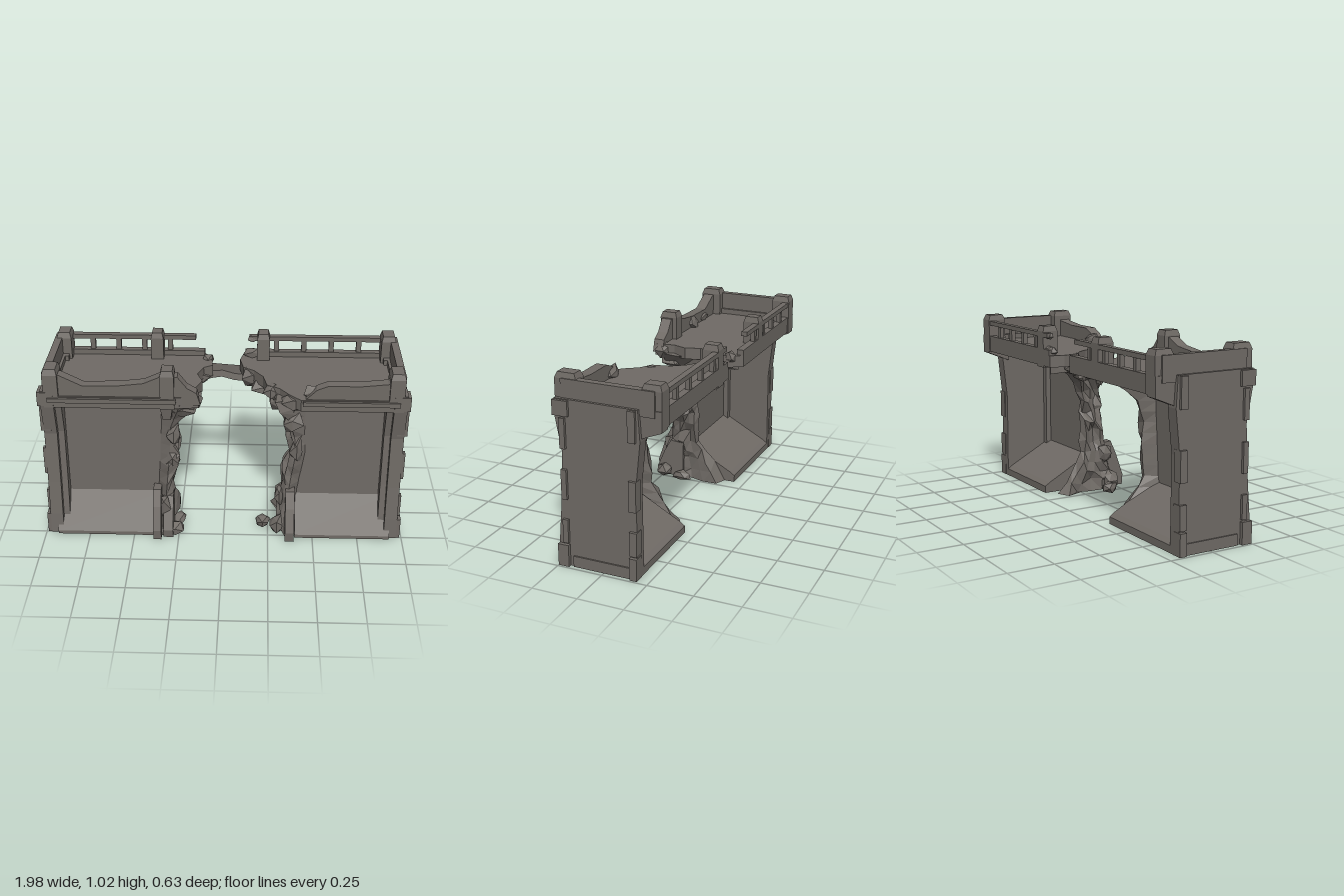
import * as THREE from 'three';

const stone = new THREE.MeshStandardMaterial({ color: 0x6f6a65, flatShading: true });
stone.name = 'grey stone';

// Seeded noise in -1..1
const noise = (a, b = 0, c = 0) => {
  const s = Math.sin(a * 127.1 + b * 311.7 + c * 74.7) * 43758.5453;
  return (s - Math.floor(s)) * 2 - 1;
};

export function createModel() {
  const model = new THREE.Group();
  model.name = 'ruinedGateWall';

  const add = (name, geo, parent = model) => {
    const m = new THREE.Mesh(geo, stone);
    m.name = name;
    parent.add(m);
    return m;
  };
  const box = (name, x0, x1, y0, y1, z0, z1, parent) => {
    const g = new THREE.BoxGeometry(Math.abs(x1 - x0), y1 - y0, Math.abs(z1 - z0));
    g.translate((x0 + x1) / 2, (y0 + y1) / 2, (z0 + z1) / 2);
    return add(name, g, parent);
  };
  const extrude = (pts, depth) => new THREE.ExtrudeGeometry(
    new THREE.Shape(pts.map(p => new THREE.Vector2(p[0], p[1]))), { depth, bevelEnabled: false });
  // [z, y] outline swept along x
  const sweepX = (name, pts, x0, x1, parent) => {
    const a = Math.min(x0, x1), b = Math.max(x0, x1);
    const g = extrude(pts.map(([z, y]) => [-z, y]), b - a);
    g.rotateY(Math.PI / 2).translate(a, 0, 0);
    return add(name, g, parent);
  };
  // [x, z] plan raised along y
  const slab = (name, pts, y0, y1, parent) => {
    const g = extrude(pts.map(([x, z]) => [x, -z]), y1 - y0);
    g.rotateX(-Math.PI / 2).translate(0, y0, 0);
    return add(name, g, parent);
  };
  // [x, y] outline with thickness in z
  const panel = (name, pts, z0, z1, parent) =>
    add(name, extrude(pts, z1 - z0).translate(0, 0, z0), parent);
  // Post with a chamfered cap
  const post = (name, x, z, y0, w, d, parent) => {
    box(name, x - w / 2, x + w / 2, y0, 0.99, z - d / 2, z + d / 2, parent);
    const cap = new THREE.CylinderGeometry(0.56, 0.707, 0.03, 4, 1).rotateY(Math.PI / 4);
    add(name + 'Cap', cap.scale(w, 1, d).translate(x, 1.005, z), parent);
  };
  // Faceted broken stone
  const rock = (x, y, z, sx, sy, sz, seed) => {
    const g = new THREE.IcosahedronGeometry(1, 0), p = g.attributes.position;
    for (let i = 0; i < p.count; i++) {
      const k = Math.round(p.getX(i) * 9) + Math.round(p.getY(i) * 9) * 3.1 + Math.round(p.getZ(i) * 9) * 7.3;
      const f = 1 + 0.28 * noise(k, seed);
      p.setXYZ(i, x + p.getX(i) * sx * f, Math.max(0, y + p.getY(i) * sy * f), z + p.getZ(i) * sz * f);
    }
    g.computeVertexNormals();
    add('brokenStone', g);
  };
  // Closed skin over equal-length rings
  const loft = (name, rings, flip) => {
    const pos = [], n = rings[0].length;
    const tri = (a, b, c) => pos.push(...a, ...(flip ? c : b), ...(flip ? b : c));
    for (let r = 0; r < rings.length - 1; r++) for (let i = 0; i < n; i++) {
      const j = (i + 1) % n, A = rings[r], B = rings[r + 1];
      tri(A[i], B[j], A[j]);
      tri(A[i], B[i], B[j]);
    }
    const top = rings[rings.length - 1];
    const mid = ring => [0, 1, 2].map(k => ring.reduce((s, p) => s + p[k], 0) / n);
    const m0 = mid(rings[0]), m1 = mid(top);
    for (let i = 0; i < n; i++) {
      const j = (i + 1) % n;
      tri(m0, rings[0][i], rings[0][j]);
      tri(m1, top[j], top[i]);
    }
    const g = new THREE.BufferGeometry();
    g.setAttribute('position', new THREE.Float32BufferAttribute(pos, 3));
    g.computeVertexNormals();
    return add(name, g);
  };

  // Thin recessed wall with battered foot and overhanging head, both halves
  const core = [[0.27, 0], [0.27, 0.02], [0.145, 0.22], [0.135, 0.77], [0.22, 0.815],
    [-0.3, 0.815], [-0.3, 0.8], [-0.2, 0.775], [0.1, 0.765], [0.1, 0.2], [-0.16, 0.06], [-0.188, 0.04], [-0.188, 0]];
  sweepX('leftWall', core, 0.4, 0.93);
  sweepX('rightWall', core, -0.93, -0.33);

  // End walls, quoins, parapets and posts, mirrored
  const endOutline = [[0.255, 0], [0.25, 0.12], [0.232, 0.32], [0.215, 0.62], [0.25, 0.81], [0.25, 0.895],
    [-0.2, 0.895], [-0.21, 0.735], [-0.185, 0.5], [-0.188, 0]];
  const frame = [[0.225, 0], [0.22, 0.12], [0.2, 0.32], [0.185, 0.62], [0.22, 0.81], [0.07, 0.81], [0.07, 0]];
  const bracket = [[-0.18, 0.895], [-0.315, 0.895], [-0.315, 0.79], [-0.18, 0.735]];
  for (const s of [1, -1]) {
    const end = new THREE.Group();
    end.name = s > 0 ? 'leftEnd' : 'rightEnd';
    model.add(end);
    sweepX('endWall', endOutline, s * 0.9, s * 0.97, end);
    sweepX('backBracket', bracket, s * 0.88, s * 0.95, end);
    sweepX('innerFrame', frame, s * 0.865, s * 0.9, end);
    box('endPlinth', s * 0.96, s * 0.978, 0, 0.06, -0.15, 0.17, end);
    for (const [y0, y1] of [[0, 0.12], [0.13, 0.26], [0.37, 0.53], [0.64, 0.8]]) {
      const w = y0 === 0 ? 0.99 : 0.985;
      box('frontQuoin', s * 0.93, s * w, y0, y1, 0.19, y0 ? 0.22 : 0.25, end);
      const up = y0 > 0.6 ? 0.09 : 0;
      box('backQuoin', s * 0.93, s * w, y0 + up, y1 + up, -0.19, -0.15, end);
    }
    box('upperFrontQuoin', s * 0.9, s * 0.985, 0.81, 0.89, 0.17, 0.255, end);
    box('endParapet', s * 0.915, s * 0.955, 0.86, 0.992, -0.28, 0.22, end);
    post('frontCornerPost', s * 0.91, 0.195, 0.86, 0.08, 0.118, end);
    post('backCornerPost', s * 0.905, -0.262, 0.8, 0.08, 0.106, end);
  }

  // Broken walkway floors
  slab('rightWalkway', [[-0.95, 0.25], [-0.3, 0.25], [-0.13, 0.23], [-0.15, 0.12], [-0.12, 0.04], [-0.15, -0.04],
    [-0.12, -0.12], [-0.07, -0.15], [-0.08, -0.24], [-0.12, -0.31], [-0.95, -0.31]], 0.8, 0.865);
  slab('leftWalkway', [[0.95, 0.25], [0.41, 0.25], [0.35, 0.19], [0.3, 0.12], [0.23, 0.08], [0.21, -0.02],
    [0.16, -0.09], [0.1, -0.13], [0.08, -0.23], [0.1, -0.31], [0.95, -0.31]], 0.8, 0.865);

  // Crumbling front parapets
  panel('rightFrontParapet', [[-0.9, 0.82], [-0.9, 0.985], [-0.86, 0.985], [-0.74, 0.925], [-0.55, 0.93], [-0.42, 0.945],
    [-0.33, 0.985], [-0.24, 0.985], [-0.19, 0.92], [-0.14, 0.89], [-0.12, 0.82]], 0.18, 0.24);
  panel('leftFrontParapet', [[0.9, 0.82], [0.9, 0.985], [0.86, 0.96], [0.72, 0.945], [0.55, 0.945], [0.49, 0.92],
    [0.42, 0.85], [0.41, 0.82]], 0.18, 0.24);
  box('rightCornice', -0.93, -0.25, 0.835, 0.86, 0.2, 0.265);
  box('leftCornice', 0.42, 0.93, 0.835, 0.86, 0.2, 0.265);

  // Back railings
  const railing = (name, x0, x1, end) => {
    const g = new THREE.Group();
    g.name = name;
    model.add(g);
    box('kerb', x0, x1, 0.815, 0.895, -0.31, -0.27, g);
    box('rail', x0, end, 0.96, 0.985, -0.31, -0.275, g);
    for (let i = 1; i < 5; i++) {
      const x = x0 + (end - x0) * i / 5;
      box('baluster', x - 0.014, x + 0.014, 0.89, 0.965, -0.305, -0.28, g);
    }
  };
  railing('rightRailing', -0.9, -0.12, -0.17);
  railing('leftRailing', 0.9, 0.11, 0.13);
  post('rightMiddlePost', -0.385, -0.265, 0.8, 0.07, 0.09);
  post('leftMiddlePost', 0.21, -0.265, 0.79, 0.07, 0.09);
  post('frontMiddlePost', -0.295, 0.205, 0.8, 0.075, 0.1);
  add('postCorbel', new THREE.CylinderGeometry(0.06, 0.03, 0.13, 4).rotateY(0.7).translate(-0.3, 0.79, 0.21));

  // Ragged jambs; each level: y, inner x, outer x, front z, back z, front setback
  const jamb = (name, levels, side) => {
    const rings = [], steps = 14;
    for (let k = 0; k <= steps; k++) {
      const y = levels[levels.length - 1][0] * k / steps;
      let i = 0;
      while (i < levels.length - 2 && levels[i + 1][0] < y) i++;
      const t = (y - levels[i][0]) / (levels[i + 1][0] - levels[i][0]);
      const [, inn, out, zf, zb, tilt] = levels[i].map((v, c) => v + (levels[i + 1][c] - v) * t);
      const mid = inn * 0.5 + out * 0.5;
      const ring = [[out, y, 0.14], [mid, y, zf + 0.015 * noise(k, 3, side)]];
      for (let j = 0; j < 5; j++) {
        const f = j / 4;
        ring.push([inn + side * (tilt * (1 - f) + 0.02 + 0.025 * noise(k, j + 5, side)),
          k === 0 ? 0 : y + 0.015 * noise(k, j + 20, side), zf + (zb - zf) * (0.08 + 0.84 * f)]);
      }
      ring.push([mid, y, zb + 0.015 * noise(k, 4, side)], [out, y, 0.105]);
      rings.push(ring);
    }
    loft(name, rings, side < 0);
  };
  jamb('rightJamb', [[0, -0.26, -0.42, 0.27, -0.13, 0], [0.1, -0.27, -0.4, 0.25, -0.06, 0], [0.22, -0.27, -0.37, 0.21, 0.03, 0],
    [0.5, -0.24, -0.35, 0.18, 0.04, 0], [0.64, -0.24, -0.34, 0.18, 0.02, 0], [0.73, -0.18, -0.34, 0.2, -0.06, 0],
    [0.82, -0.12, -0.34, 0.23, -0.27, 0]], -1);
  jamb('leftJamb', [[0, 0.27, 0.42, 0.25, -0.13, 0.03], [0.1, 0.27, 0.41, 0.23, -0.06, 0.02], [0.22, 0.3, 0.41, 0.2, 0.03, 0],
    [0.5, 0.34, 0.45, 0.17, 0.04, 0.01], [0.6, 0.33, 0.44, 0.17, 0.02, 0.03], [0.7, 0.27, 0.44, 0.19, -0.04, 0.08],
    [0.76, 0.17, 0.44, 0.21, -0.15, 0.17], [0.83, 0.11, 0.44, 0.22, -0.28, 0.24]], 1);

  // Narrow stone span across the gap: x, bottom, top, back z, front z
  loft('brokenSpan', [[-0.15, 0.77, 0.86, -0.27, -0.1], [-0.08, 0.785, 0.84, -0.24, -0.13], [-0.02, 0.79, 0.835, -0.24, -0.14],
    [0.05, 0.775, 0.835, -0.23, -0.13], [0.1, 0.765, 0.83, -0.24, -0.14], [0.17, 0.75, 0.86, -0.27, -0.08]]
    .map(([x, b, t, zb, zf]) => [[x, b, zb], [x, b + 0.01, zf], [x + 0.01, t, zf - 0.01], [x, t - 0.005, zb]]), true);

  // Split buttresses at the foot of the jambs
  const butt = [[0.31, 0], [0.315, 0.06], [0.27, 0.19], [0.23, 0.28], [0.15, 0.27], [0.15, 0]];
  sweepX('leftButtress', butt, 0.345, 0.395);
  sweepX('rightButtress', butt, -0.39, -0.345);
  sweepX('rightInnerButtress', butt.map(([z, y]) => [z - 0.025, y * 0.8]), -0.335, -0.28);

  // Loose and clinging stones: centre, half sizes
  [[-0.27, 0.03, 0.24, 0.05, 0.04, 0.05], [-0.25, 0.02, 0.12, 0.04, 0.03, 0.06], [-0.33, 0.16, 0.22, 0.04, 0.09, 0.04],
    [-0.28, 0.42, 0.16, 0.04, 0.07, 0.04], [-0.27, 0.6, 0.15, 0.04, 0.06, 0.06], [-0.22, 0.75, 0.16, 0.07, 0.05, 0.07],
    [-0.16, 0.83, 0.2, 0.05, 0.05, 0.05], [-0.14, 0.8, -0.18, 0.06, 0.05, 0.08], [-0.1, 0.85, -0.24, 0.04, 0.04, 0.04],
    [0.22, 0.03, 0.15, 0.045, 0.03, 0.045], [0.3, 0.05, 0.2, 0.04, 0.06, 0.05], [0.31, 0.22, 0.17, 0.03, 0.07, 0.05],
    [0.4, 0.5, 0.15, 0.04, 0.09, 0.04], [0.37, 0.68, 0.16, 0.06, 0.06, 0.05], [0.37, 0.82, 0.18, 0.07, 0.05, 0.05],
    [0.25, 0.83, 0.08, 0.05, 0.05, 0.05], [0.15, 0.81, -0.13, 0.06, 0.06, 0.06], [0.22, 0.77, -0.08, 0.07, 0.05, 0.07],
    [0.3, 0.73, 0.0, 0.06, 0.06, 0.06], [0.15, 0.88, -0.28, 0.05, 0.03, 0.03], [0.15, 0.965, -0.285, 0.03, 0.02, 0.02],
    [-0.55, 0.89, 0.18, 0.05, 0.05, 0.03], [-0.72, 0.88, 0.19, 0.06, 0.04, 0.03], [0.48, 0.88, 0.19, 0.06, 0.04, 0.04],
  ].forEach((r, i) => rock(...r, i + 1));

  return model;
}
